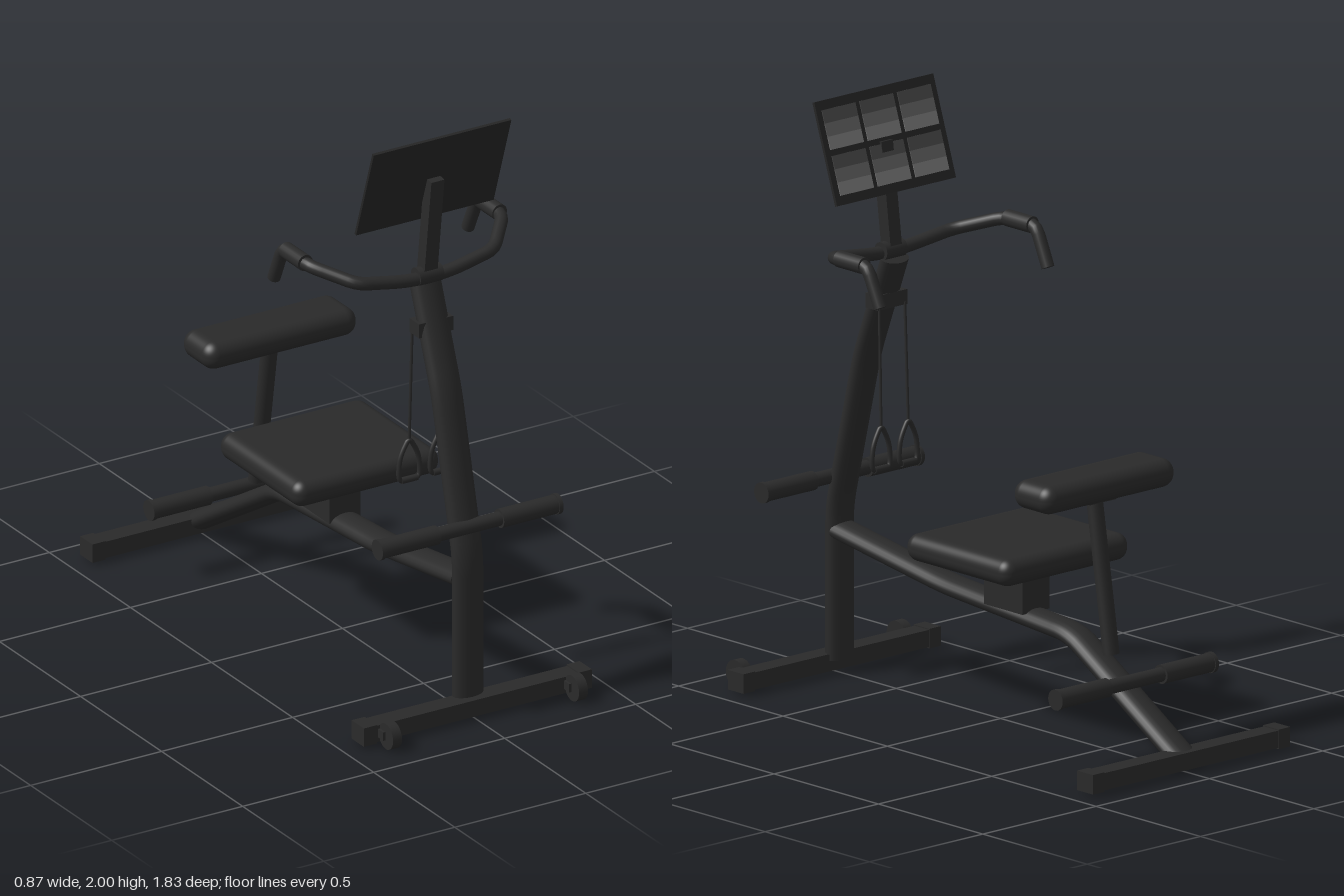
import * as THREE from 'three';
import { mergeGeometries } from 'three/addons/utils/BufferGeometryUtils.js';
import { RoundedBoxGeometry } from 'three/addons/geometries/RoundedBoxGeometry.js';

const V = (x, y, z) => new THREE.Vector3(x, y, z);

function material(name, color, options = {}) {
  const m = new THREE.MeshStandardMaterial({ color, ...options });
  m.name = name;
  return m;
}

// Straight runs joined by rounded bends
function bentPath(points, bend) {
  const path = new THREE.CurvePath();
  let from = points[0];
  for (let i = 1; i < points.length - 1; i++) {
    const p = points[i];
    const before = p.clone().add(points[i - 1].clone().sub(p).setLength(bend));
    const after = p.clone().add(points[i + 1].clone().sub(p).setLength(bend));
    path.add(new THREE.LineCurve3(from, before));
    path.add(new THREE.QuadraticBezierCurve3(before, p, after));
    from = after;
  }
  path.add(new THREE.LineCurve3(from, points[points.length - 1]));
  return path;
}

// Capped pipe; widen stretches it sideways into an oval section
function pipe(points, radius, bend = 0.04, widen = 1) {
  const path = bentPath(points, bend);
  const parts = [new THREE.TubeGeometry(path, 64, radius, 20)];
  for (const [t, sign] of [[0, -1], [1, 1]]) {
    const end = path.getPoint(t);
    const cap = new THREE.CircleGeometry(radius, 20);
    cap.lookAt(path.getTangent(t).multiplyScalar(sign));
    parts.push(cap.translate(end.x, end.y, end.z));
  }
  return mergeGeometries(parts).scale(widen, 1, 1);
}

export function createModel() {
  const root = new THREE.Group();
  root.name = 'exerciseBench';
  const black = material('black', 0x2a2a2a);
  const panelBlack = material('panel black', 0x252525);
  const tileShades = [
    material('dark grey', 0x484848),
    material('mid grey', 0x606060),
    material('light grey', 0x787878),
  ];

  function add(name, geometry, x = 0, y = 0, z = 0, parent = root, mat = black) {
    const mesh = new THREE.Mesh(geometry, mat);
    mesh.name = name;
    mesh.position.set(x, y, z);
    parent.add(mesh);
    return mesh;
  }
  const box = (w, h, d) => new THREE.BoxGeometry(w, h, d);
  const barX = (r, length) => new THREE.CylinderGeometry(r, r, length, 24).rotateZ(Math.PI / 2);

  // Main frame
  add('mast', pipe([V(0, 0.05, 0.772), V(0, 0.56, 0.772), V(0, 1.1, 0.64), V(0, 1.45, 0.507)], 0.033, 0.06, 1.7));
  add('spine', pipe([V(0, 0.485, 0.76), V(0, 0.405, 0.25), V(0, 0.36, -0.36), V(0, 0.045, -0.875)], 0.033, 0.06, 1.7));

  // Floor feet with end caps
  for (const [name, z] of [['frontFoot', 0.797], ['rearFoot', -0.877]]) {
    add(name, box(0.84, 0.058, 0.07), 0, 0.044, z);
    for (const s of [-1, 1]) add(name + 'Cap', box(0.05, 0.066, 0.076), s * 0.41, 0.044, z);
  }

  // Transport wheels
  for (const s of [-1, 1]) {
    add('wheel', barX(0.045, 0.034), s * 0.355, 0.046, 0.868);
    add('wheelBracket', box(0.05, 0.03, 0.05), s * 0.355, 0.046, 0.84);
  }

  // Leg roller bars
  for (const [name, y, z] of [['frontRoller', 0.668, 0.772], ['rearRoller', 0.256, -0.637]]) {
    add(name + 'Rod', barX(0.024, 0.66), 0, y, z);
    for (const s of [-1, 1]) {
      add(name + 'Foam', barX(0.032, 0.225), s * 0.2325, y, z);
      add(name + 'EndCap', barX(0.035, 0.014), s * 0.338, y, z);
    }
  }

  // Seat
  add('seatPost', box(0.12, 0.16, 0.185), 0, 0.475, -0.077);
  add('seatPlate', box(0.34, 0.014, 0.35), 0, 0.547, -0.077);
  add('seat', new RoundedBoxGeometry(0.555, 0.092, 0.5, 6, 0.042), 0, 0.596, -0.08);

  // Rear pad on its leaning post
  add('padPost', pipe([V(0, 0.325, -0.53), V(0, 0.84, -0.448)], 0.025, 0.02, 1.15));
  add('padPlate', box(0.12, 0.014, 0.08), 0, 0.835, -0.45);
  add('backPad', new RoundedBoxGeometry(0.58, 0.096, 0.185, 6, 0.045), 0, 0.884, -0.448);

  // Handlebar with grips
  const half = [V(0.1, 1.473, 0.53), V(0.26, 1.497, 0.515), V(0.37, 1.54, 0.39), V(0.372, 1.545, 0.235), V(0.37, 1.415, 0.175)];
  const mirrored = half.map(p => V(-p.x, p.y, p.z)).reverse();
  add('handlebar', pipe([...mirrored, V(0, 1.465, 0.53), ...half], 0.022, 0.035));
  for (const s of [-1, 1]) {
    add('grip', new THREE.CylinderGeometry(0.028, 0.028, 0.12, 20).rotateX(Math.PI / 2), s * 0.371, 1.543, 0.31);
  }
  add('handlebarClamp', barX(0.031, 0.09), 0, 1.475, 0.525);

  // Pull cords with stirrup handles
  add('cordMount', box(0.13, 0.05, 0.06), 0, 1.305, 0.548);
  for (const s of [-1, 1]) {
    add('cord', pipe([V(s * 0.056, 1.29, 0.52), V(s * 0.06, 0.885, 0.508)], 0.005));
    const loop = [[0, 0.89], [-0.016, 0.87], [-0.036, 0.82], [-0.034, 0.753], [0, 0.748],
      [0.034, 0.753], [0.036, 0.82], [0.016, 0.87]].map(([x, y]) => V(s * 0.06 + x, y, 0.508));
    add('cordHandle', new THREE.TubeGeometry(new THREE.CatmullRomCurve3(loop, true), 48, 0.0085, 10, true));
    add('cordGrip', barX(0.011, 0.06), s * 0.06, 0.75, 0.508);
  }

  // Console neck
  const neck = add('consoleNeck', box(0.05, 0.37, 0.046), 0, 1.65, 0.543);
  neck.rotation.x = Math.atan2(0.045, 0.36);

  // Console panel, its tiled side facing the seat
  const console_ = new THREE.Group();
  console_.name = 'console';
  console_.position.set(0, 1.835, 0.558);
  console_.rotation.x = Math.atan2(0.11, 0.33);
  root.add(console_);
  add('consolePanel', box(0.525, 0.346, 0.01), 0, 0, 0, console_, panelBlack);
  const tileW = 0.148, tileH = 0.132;
  for (const x of [-0.166, 0, 0.166]) {
    for (const y of [-0.076, 0.076]) {
      tileShades.forEach((shade, i) => {
        add('consoleTile', box(tileW, tileH / 3, 0.003), x, y + (1 - i) * tileH / 3, -0.006, console_, shade);
      });
    }
  }

  return root;
}
